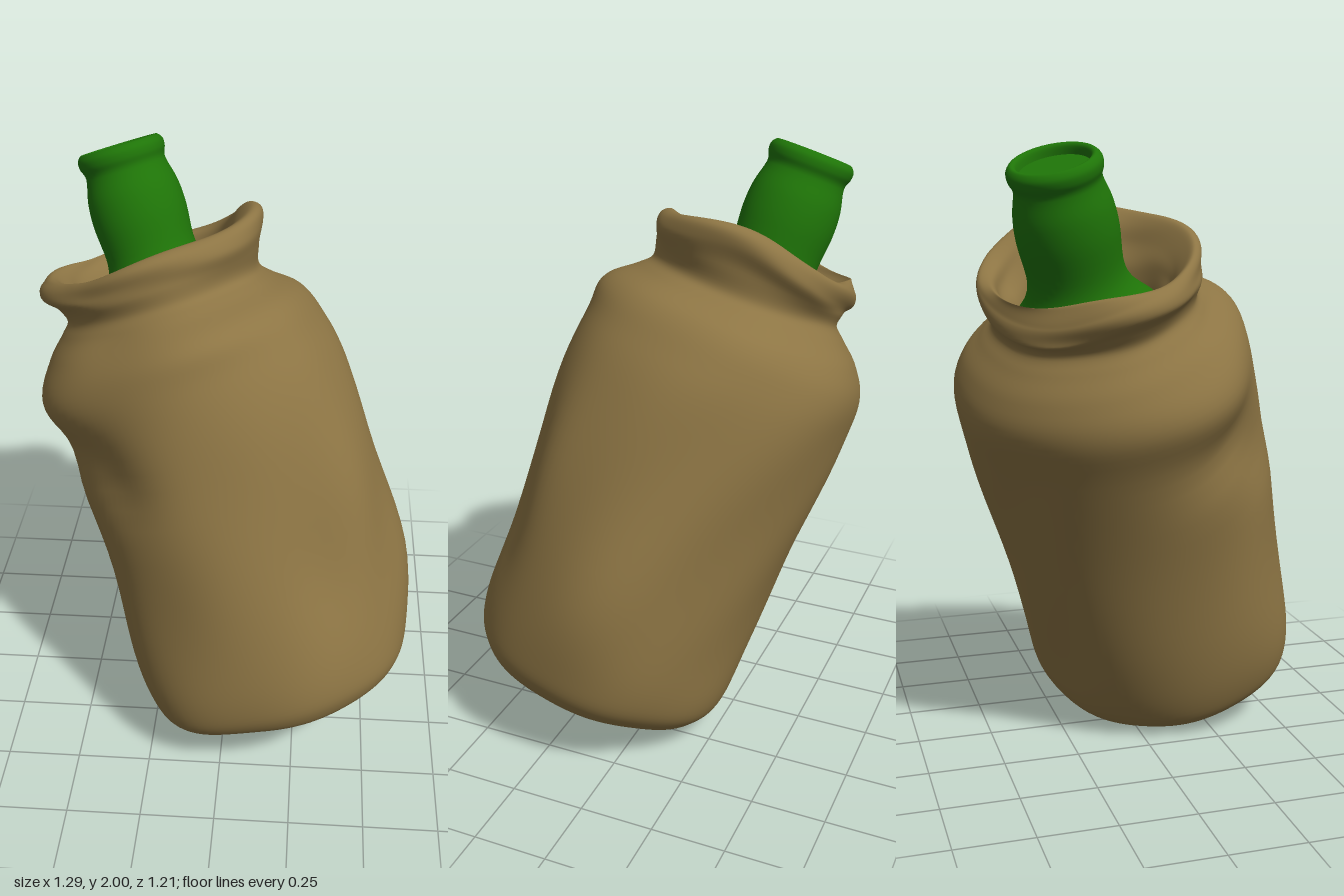
import * as THREE from 'three';
import { mergeVertices } from 'three/addons/utils/BufferGeometryUtils.js';

const paper = new THREE.MeshStandardMaterial({ color: 0x8d7544, side: THREE.DoubleSide });
paper.name = 'brown paper';
const glass = new THREE.MeshStandardMaterial({ color: 0x1f7508 });
glass.name = 'green glass';

// Bag rings from the base to the inside of the collar: height, x radius, z radius, x centre, z centre
const bagRings = [
  [-0.05, 0.001, 0.001, 0.03, 0.045],
  [-0.065, 0.2, 0.2, 0.03, 0.045],
  [-0.06, 0.35, 0.34, 0.03, 0.045],
  [-0.015, 0.43, 0.415, 0.03, 0.045],
  [0.08, 0.47, 0.455, 0.035, 0.04],
  [0.3, 0.495, 0.465, 0.045, 0.04],
  [0.7, 0.5, 0.475, 0.05, 0.04],
  [1.05, 0.5, 0.485, 0.04, 0.03],
  [1.22, 0.485, 0.48, 0.02, 0.025],
  [1.32, 0.44, 0.435, 0.02, 0.03],
  [1.385, 0.37, 0.37, 0.01, 0.035],
  [1.43, 0.335, 0.33, 0.01, 0.04],
  [1.5, 0.355, 0.34, 0.015, 0.045],
  [1.56, 0.385, 0.35, 0.02, 0.045],
  [1.605, 0.385, 0.35, 0.02, 0.045],
  [1.625, 0.36, 0.33, 0.015, 0.04],
  [1.6, 0.32, 0.3, 0, 0.035],
  [1.55, 0.285, 0.275, -0.01, 0.02],
  [1.485, 0.25, 0.25, -0.02, 0.01],
  [1.41, 0.225, 0.225, -0.025, 0],
];

// Dents and bulges in the paper: angle, height, amount, angular width, height width
const folds = [
  [-1.15, 1.19, 0.028, 0.5, 0.1],
  [-0.95, 1.0, -0.04, 0.4, 0.1],
  [-0.6, 0.88, -0.025, 0.3, 0.1],
  [-0.2, 0.75, 0.02, 0.35, 0.3],
  [0.25, 1.0, 0.015, 0.4, 0.2],
  [0.95, 0.75, 0.025, 0.25, 0.3],
  [0.6, 0.45, -0.02, 0.25, 0.2],
  [1.7, 0.35, 0.025, 0.4, 0.25],
  [2.4, 0.3, -0.025, 0.4, 0.35],
  [-0.85, 0.15, 0.05, 0.45, 0.3],
  [0.3, 1.3, 0.025, 0.5, 0.07],
  [-0.5, 1.37, -0.02, 0.4, 0.05],
];

const bump = (x, w) => Math.exp(-(x * x) / (w * w));
const wrap = a => Math.atan2(Math.sin(a), Math.cos(a));

function paperBag() {
  const radii = new THREE.CatmullRomCurve3(bagRings.map(([y, rx, rz]) => new THREE.Vector3(rx, y, rz)));
  const centres = new THREE.CatmullRomCurve3(bagRings.map(([, , , x, z]) => new THREE.Vector3(x, 0, z)));
  centres.curveType = radii.curveType = 'catmullrom';
  const plane = new THREE.PlaneGeometry(1, 1, 96, 114);
  const pos = plane.attributes.position;
  for (let i = 0; i < pos.count; i++) {
    const angle = pos.getX(i) * Math.PI * 2;
    const t = THREE.MathUtils.clamp(pos.getY(i) + 0.5, 0, 1);
    const r = radii.getPoint(t), c = centres.getPoint(t);
    const collar = THREE.MathUtils.smoothstep(t, 0.56, 0.72) * (1 - THREE.MathUtils.smoothstep(t, 0.88, 1));
    let push = 0.005 * Math.sin(3 * angle + 5 * r.y) + 0.003 * Math.sin(7 * angle - 9 * r.y);
    for (const [a, y, amount, wa, wy] of folds) push += amount * bump(wrap(angle - a), wa) * bump(r.y - y, wy);
    push *= 1 - collar;
    // Crumpled collar
    push += collar * (0.006 * Math.sin(3 * angle - 0.6) + 0.008 * Math.sin(5 * angle + 2) + 0.006 * Math.sin(4 * angle + 40 * r.y));
    push *= Math.min(1, r.x / 0.35);
    // The rim is highest on the left
    let lift = collar * (0.02 * Math.sin(angle) - 0.015 * Math.cos(2 * angle) + 0.012 * Math.sin(4 * angle + 1) - 0.035);
    // On the side the bottle leans to, the collar flops open and its inside lies flat
    const flop = Math.max(0, Math.cos(angle + 2.28));
    lift += flop * THREE.MathUtils.lerp(-0.035 * collar, 0.08, THREE.MathUtils.smoothstep(t, 0.77, 0.9));
    // Uneven underside
    const under = t < 0.16 ? 0.012 * Math.sin(9 * r.x * Math.sin(angle)) * Math.cos(8 * r.x * Math.cos(angle)) * (1 - t / 0.16) : 0;
    pos.setXYZ(i, c.x + (r.x + push) * Math.sin(angle), r.y + lift + under, c.z + (r.z + push) * Math.cos(angle));
  }
  plane.deleteAttribute('uv');
  plane.deleteAttribute('normal');
  const geometry = mergeVertices(plane, 1e-4);
  geometry.computeVertexNormals();
  const mesh = new THREE.Mesh(geometry, paper);
  mesh.name = 'paperBag';
  return mesh;
}

function lathe(name, points) {
  const profile = new THREE.SplineCurve(points.map(([x, y]) => new THREE.Vector2(x, y))).getPoints(60);
  const mesh = new THREE.Mesh(new THREE.LatheGeometry(profile, 48), glass);
  mesh.name = name;
  return mesh;
}

export function createModel() {
  const model = new THREE.Group();
  model.name = 'bottleInPaperBag';

  // Everything stands along one leaning axis
  const leaning = new THREE.Group();
  leaning.name = 'leaningBottle';
  leaning.quaternion.setFromUnitVectors(new THREE.Vector3(0, 1, 0), new THREE.Vector3(-0.298, 0.92, -0.255).normalize());
  model.add(leaning);

  leaning.add(paperBag());
  // Shoulder, bulging neck and rounded lip
  leaning.add(lathe('bottleNeck', [[0.3, 1.34], [0.27, 1.39], [0.22, 1.44], [0.172, 1.5], [0.152, 1.57],
    [0.159, 1.69], [0.154, 1.77], [0.138, 1.835], [0.136, 1.86], [0.145, 1.885], [0.145, 1.91], [0.13, 1.928],
    [0.115, 1.922], [0.108, 1.895]]));
  // Recessed mouth
  const mouth = new THREE.Mesh(new THREE.CircleGeometry(0.112, 48), glass);
  mouth.name = 'bottleMouth';
  mouth.rotation.x = -Math.PI / 2;
  mouth.position.y = 1.897;
  leaning.add(mouth);

  // Rest on the ground, centred
  model.updateMatrixWorld(true);
  const box = new THREE.Box3().setFromObject(model, true);
  const middle = box.getCenter(new THREE.Vector3());
  leaning.position.set(-middle.x, -box.min.y, -middle.z);
  return model;
}
